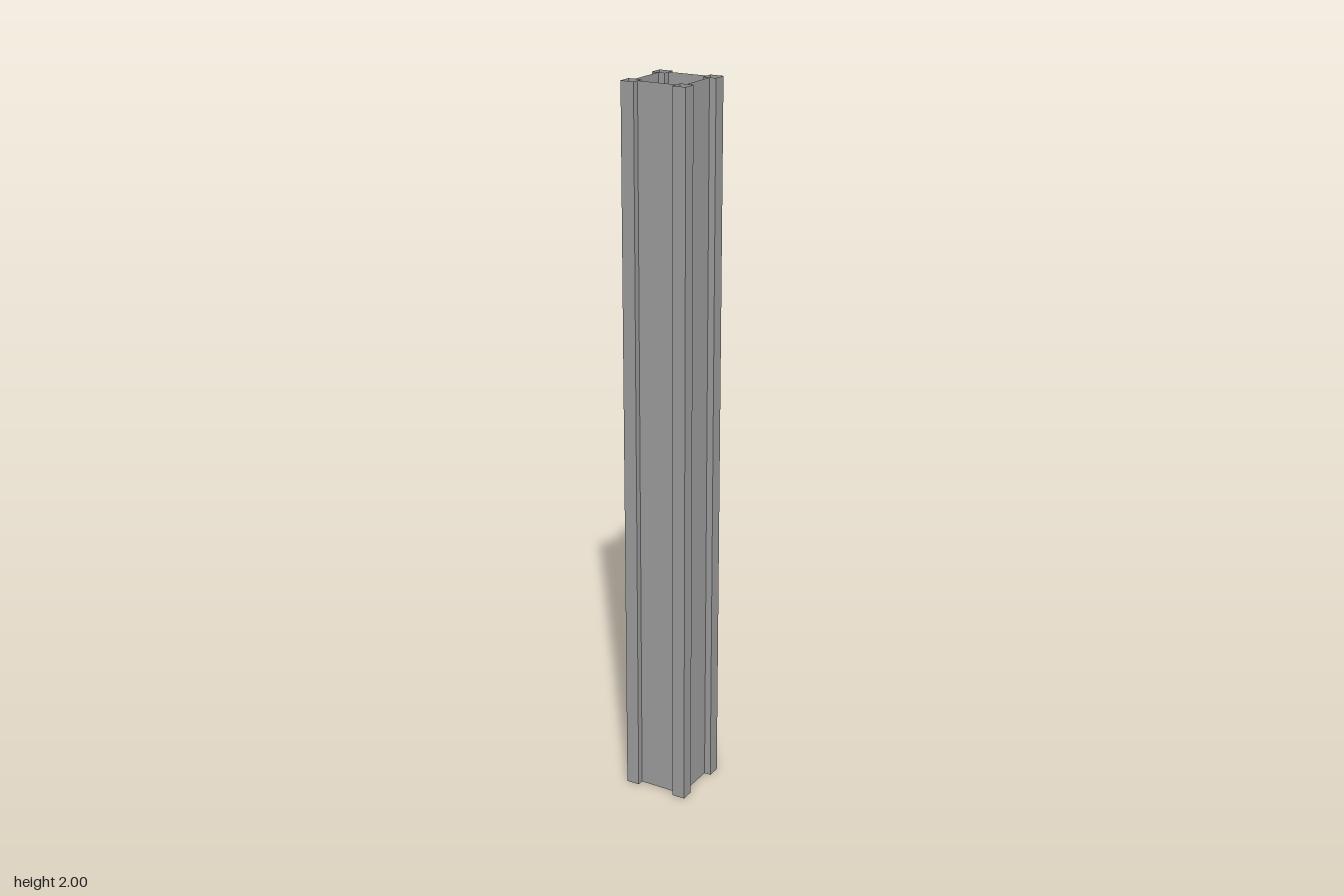
import * as THREE from 'three';
import { mergeGeometries } from 'three/addons/utils/BufferGeometryUtils.js';

const HEIGHT = 2;
const HALF = 0.094; // outer face of the corner posts
const WALL = 0.075; // recessed wall plane
const POST = 0.056; // inner face of the corner posts

// Upright sheet between two plan points [x, z], facing outward
function sheet([x0, z0], [x1, z1]) {
  const dx = x1 - x0, dz = z1 - z0;
  return new THREE.PlaneGeometry(Math.hypot(dx, dz), HEIGHT)
    .rotateY(Math.atan2(-dz, dx))
    .translate((x0 + x1) / 2, HEIGHT / 2, (z0 + z1) / 2);
}

function strip(points) {
  return mergeGeometries(points.slice(1).map((p, i) => sheet(points[i], p)));
}

export function createModel() {
  const group = new THREE.Group();
  group.name = 'column';
  const material = new THREE.MeshStandardMaterial({
    color: 0x9d9d9d, flatShading: true, side: THREE.DoubleSide,
  });

  // Recessed wall, and the hollow square post on its +x end
  const wall = strip([[-POST, WALL], [POST, WALL]]);
  const post = strip([[POST, POST], [POST, HALF], [HALF, HALF], [HALF, POST], [POST, POST]]);

  // Four identical sides, open at the top and bottom
  for (let i = 0; i < 4; i++) {
    for (const [name, geometry] of [['wallPanel', wall], ['cornerPost', post]]) {
      const mesh = new THREE.Mesh(geometry, material);
      mesh.name = name + (i + 1);
      mesh.rotation.y = i * Math.PI / 2;
      group.add(mesh);
    }
  }
  return group;
}
